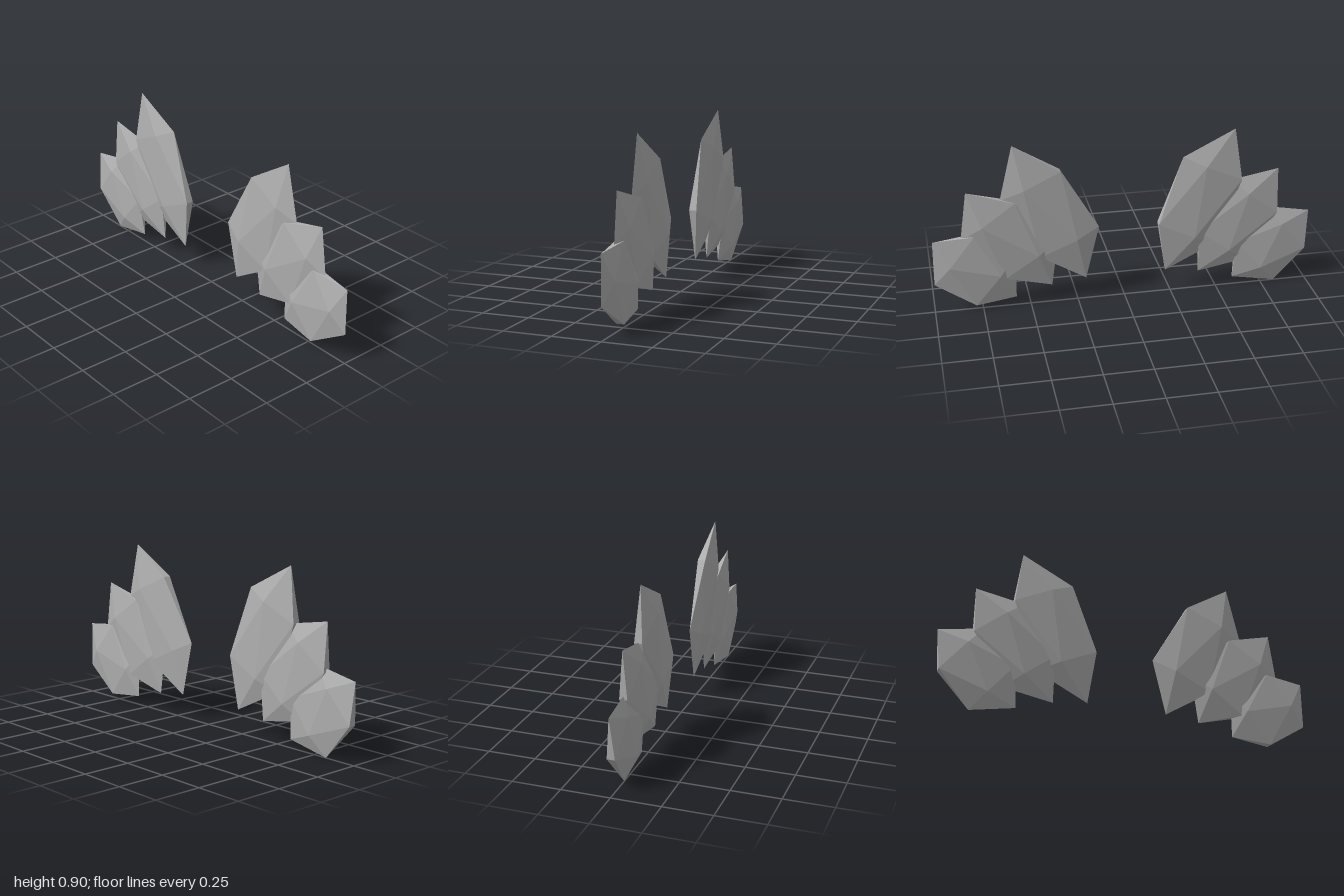
import * as THREE from 'three';

const PHI = (1 + Math.sqrt(5)) / 2;
const THICKNESS = 0.033; // half depth of every crystal

// Flattened icosahedron, sheared so that its outline passes through a tip and
// the blunt corner beside it (both given relative to the centre).
function crystal(name, [cx, cy], tip, corner, material) {
  const geometry = new THREE.IcosahedronGeometry(Math.hypot(1, PHI), 0);
  const xAxis = corner.map((v) => v / PHI);
  const yAxis = tip.map((v, i) => (v - xAxis[i]) / PHI);
  // negative z keeps the faces pointing outward
  geometry.applyMatrix4(new THREE.Matrix4().set(
    xAxis[0], yAxis[0], 0, 0,
    xAxis[1], yAxis[1], 0, 0,
    0, 0, -THICKNESS / PHI, 0,
    0, 0, 0, 1,
  ));
  geometry.computeVertexNormals();
  const mesh = new THREE.Mesh(geometry, material);
  mesh.name = name;
  mesh.position.set(cx, cy, 0);
  return mesh;
}

export function createModel() {
  const group = new THREE.Group();
  group.name = 'crystalWings';
  const stone = new THREE.MeshStandardMaterial({ color: 0xb0b0b0 });
  stone.name = 'paleGrey';

  // name, centre, tip offset, blunt corner offset
  const wings = {
    leftWing: [
      ['leftLargeCrystal', [0.387, 0.513], [0.183, 0.389], [-0.057, 0.237]],
      ['leftMiddleCrystal', [0.598, 0.383], [0.213, 0.282], [-0.03, 0.212]],
      ['leftSmallCrystal', [0.783, 0.228], [0.209, 0.178], [-0.002, 0.198]],
    ],
    rightWing: [
      ['rightLargeCrystal', [-0.4, 0.515], [-0.18, 0.39], [-0.22, 0.11]],
      ['rightMiddleCrystal', [-0.61, 0.383], [-0.21, 0.282], [-0.21, 0.037]],
      ['rightSmallCrystal', [-0.795, 0.226], [-0.205, 0.18], [-0.19, -0.035]],
    ],
  };

  for (const [wingName, crystals] of Object.entries(wings)) {
    const wing = new THREE.Group();
    wing.name = wingName;
    for (const spec of crystals) wing.add(crystal(...spec, stone));
    group.add(wing);
  }
  return group;
}
